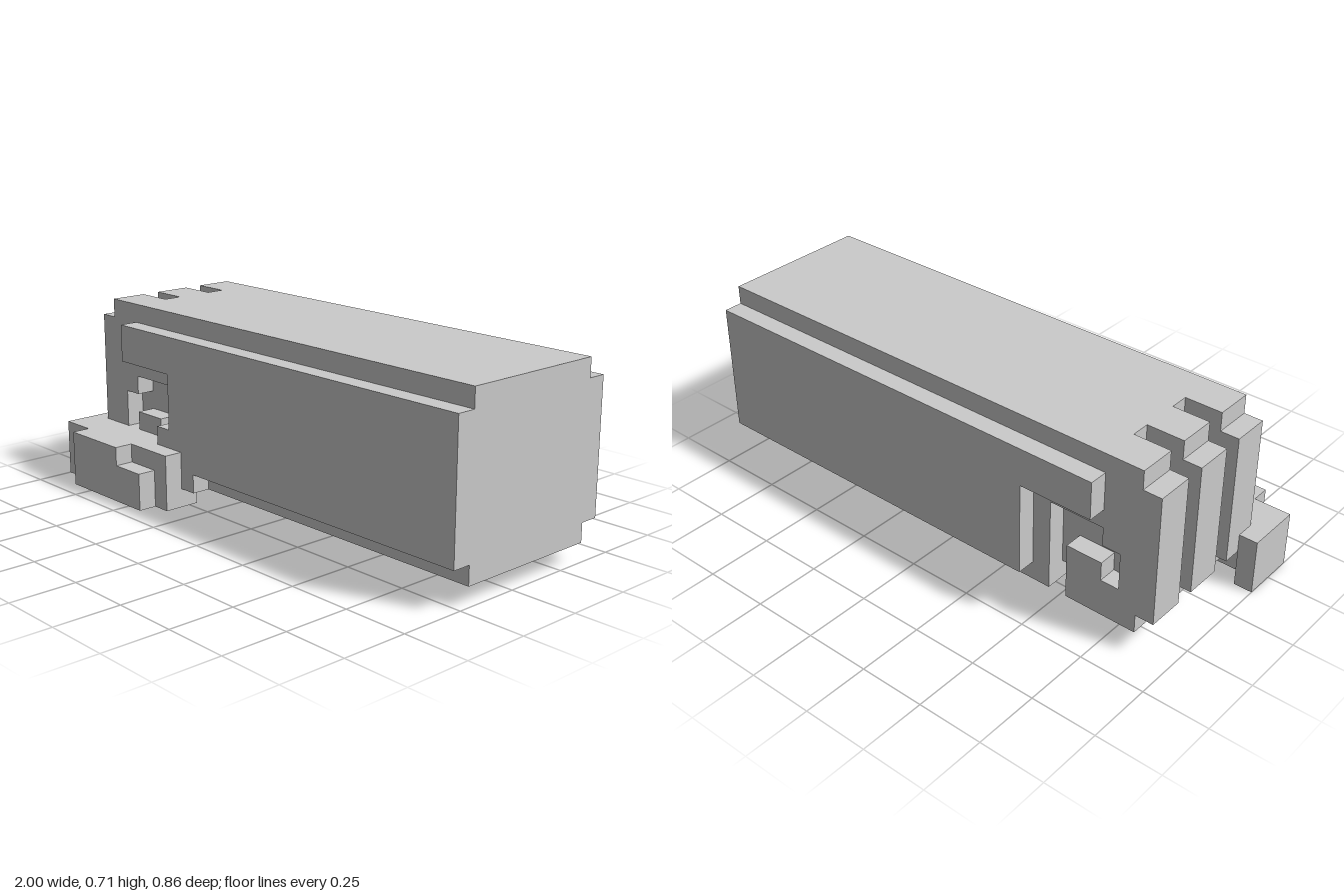
import * as THREE from 'three';

const U = 1 / 14; // block size
const material = new THREE.MeshStandardMaterial({ color: 0xcccccc, flatShading: true });

// Side outline in (x, y) blocks, extruded from z0 to z1
function slab(name, outline, z0, z1) {
  const shape = new THREE.Shape(outline.map(([x, y]) => new THREE.Vector2(x * U, y * U)));
  const geometry = new THREE.ExtrudeGeometry(shape, { depth: (z1 - z0) * U, bevelEnabled: false });
  geometry.translate(0, 0, z0 * U);
  const mesh = new THREE.Mesh(geometry, material);
  mesh.name = name;
  return mesh;
}

const rect = (x0, x1, y0, y1) => [[x0, y0], [x1, y0], [x1, y1], [x0, y1]];

export function createModel() {
  const model = new THREE.Group();
  model.name = 'blockModel';

  // Outlines of the core slices
  const end = [[14, 1], [14, 10], [-12, 10], [-12, 9], [-13, 9], [-13, 2], [-12, 2], [-12, 1], [-8, 1]];
  const rib = [...end, [-8, 2], [-7, 2], [-7, 1]];
  const hooked = [...end, [-8, 4], [-10, 4], [-10, 3], [-11, 3], [-11, 5], [-10, 5], [-10, 6], [-7, 6], [-7, 1]];
  const groove = [[14, 1], [14, 10], [-10, 10], [-10, 9], [-11, 9], [-11, 2], [-7, 2], [-7, 1]];

  // Core: three ribs parted by two grooves, hooked recess on both sides
  const core = new THREE.Group();
  core.name = 'core';
  core.add(
    slab('backRecess', hooked, -5, -4),
    slab('backRib', rib, -4, -3),
    slab('backGroove', groove, -3, -2),
    slab('middleRib', rib, -2, 0),
    slab('frontGroove', groove, 0, 1),
    slab('frontRib', rib, 1, 2),
    slab('frontRecess', hooked, 2, 3),
  );

  // Raised side plates
  const plateTop = [[14, 2], [14, 9], [-10, 9], [-10, 7], [-6, 7]];
  const backPlate = slab('backPlate', [...plateTop, [-6, 2]], -6, -5);
  const frontPlate = slab('frontPlate',
    [...plateTop, [-6, 4], [-7, 4], [-7, 1], [-4, 1], [-4, 2]], 3, 4);

  // Stepped foot at the front corner
  const foot = new THREE.Group();
  foot.name = 'foot';
  foot.add(
    slab('footBase', rect(-14, -5, 0, 3), 3, 5),
    slab('footReturn', rect(-14, -13, 0, 3), 2, 3),
    slab('footStep', [[-12, 0], [-6, 0], [-6, 2], [-8, 2], [-8, 3], [-12, 3]], 5, 6),
  );

  model.add(core, backPlate, frontPlate, foot);
  return model;
}
